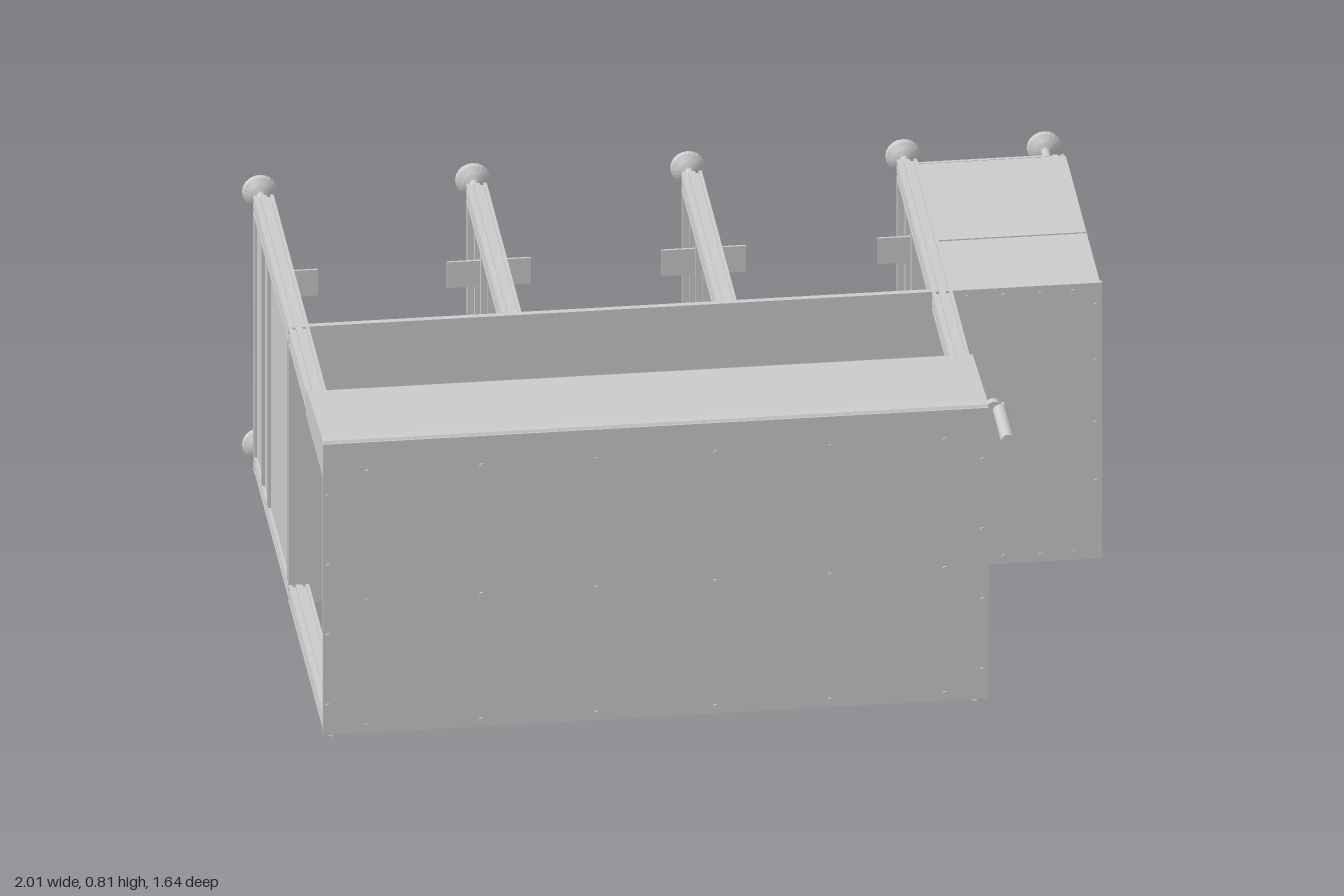
import * as THREE from 'three';

const mat = new THREE.MeshStandardMaterial({ color: 0xcccccc, flatShading: true });
const smooth = new THREE.MeshStandardMaterial({ color: 0xcccccc });
const thin = new THREE.MeshStandardMaterial({ color: 0xcccccc, flatShading: true, side: THREE.DoubleSide });

export function createModel() {
  const root = new THREE.Group();
  root.name = 'workstation';

  const add = (name, geo, x = 0, y = 0, z = 0, m = mat) => {
    const mesh = new THREE.Mesh(geo, m);
    mesh.name = name;
    mesh.position.set(x, y, z);
    root.add(mesh);
    return mesh;
  };

  // Flat sheet or block given by its bounds
  const box = (name, x0, x1, y0, y1, z0, z1) =>
    add(name, new THREE.BoxGeometry(x1 - x0, y1 - y0, z1 - z0), (x0 + x1) / 2, (y0 + y1) / 2, (z0 + z1) / 2);

  // Slotted frame section: one groove for every 0.025 of side length
  const section = (w, h) => {
    const pts = [];
    const corners = [[-w / 2, -h / 2], [w / 2, -h / 2], [w / 2, h / 2], [-w / 2, h / 2]];
    corners.forEach(([ax, ay], i) => {
      const [bx, by] = corners[(i + 1) % 4];
      const len = Math.hypot(bx - ax, by - ay);
      const ux = (bx - ax) / len, uy = (by - ay) / len;
      const n = Math.max(1, Math.round(len / 0.025));
      const put = (t, d) => pts.push(new THREE.Vector2(ax + ux * t - uy * d, ay + uy * t + ux * d));
      put(0, 0);
      for (let k = 0; k < n; k++) {
        const c = (k + 0.5) * len / n;
        put(c - 0.004, 0); put(c - 0.004, 0.006); put(c + 0.004, 0.006); put(c + 0.004, 0);
      }
    });
    return new THREE.Shape(pts);
  };

  // Slotted beam given by its bounds, running along its longest side
  const beam = (name, x0, x1, y0, y1, z0, z1) => {
    const dx = x1 - x0, dy = y1 - y0, dz = z1 - z0;
    const len = Math.max(dx, dy, dz);
    const [w, h] = len === dz ? [dx, dy] : len === dy ? [dx, dz] : [dz, dy];
    const geo = new THREE.ExtrudeGeometry(section(w, h), { depth: len, bevelEnabled: false });
    geo.translate(0, 0, -len / 2);
    if (len === dy) geo.rotateX(-Math.PI / 2);
    else if (len === dx) geo.rotateY(Math.PI / 2);
    add(name, geo, (x0 + x1) / 2, (y0 + y1) / 2, (z0 + z1) / 2);
  };

  // Cabinet bays: dividers with top and bottom rails and posts
  const bays = [-0.97, -0.45, 0.075, 0.6];
  bays.forEach((x, i) => {
    const outer = i === 0 || i === 3;
    const a = x - 0.025, b = x + 0.025;
    beam('topRail', a, b, 0.71, 0.76, -0.745, outer ? 0.665 : -0.045);
    beam('bottomRail', a, b, 0.02, 0.06, -0.72, -0.045);
    beam('rearPost', a, b, 0.035, 0.71, -0.745, -0.72);
    beam('frontPost', a, b, 0.06, 0.71, -0.07, -0.045);
    for (const z of [-0.58, -0.46]) beam('middlePost', a, b, 0.06, 0.71, z - 0.0125, z + 0.0125);

    // Mounting tabs between the middle posts
    const x0 = i === 0 ? x : x - 0.1, x1 = i === 3 ? x : x + 0.105;
    for (const y of [0.18, 0.33, 0.48, 0.63]) box('mountingTab', x0, x1, y - 0.035, y + 0.035, -0.524, -0.518);
  });

  // Long cabinet rails, floor and walls
  beam('rearBottomRail', -0.995, 0.985, 0.012, 0.037, -0.745, -0.72);
  beam('rearInnerRail', 0.625, 0.94, 0.725, 0.75, -0.745, -0.72);
  beam('frontTopRail', -0.945, 0.98, 0.725, 0.75, -0.07, -0.045);
  beam('frontBottomRail', -0.945, 0.98, 0.02, 0.045, -0.07, -0.045);
  box('floor', -0.99, 0.985, 0.012, 0.02, -0.74, -0.04);
  box('cabinetFront', -0.995, 0.99, 0.01, 0.76, -0.045, -0.035);
  box('leftWall', -0.988, -0.98, 0.04, 0.72, -0.725, -0.045);

  // Closed box at the end of the cabinet
  for (const [z0, z1] of [[-0.745, -0.72], [-0.31, -0.285], [-0.07, -0.045]]) {
    beam('boxPost', 0.94, 0.984, 0.02, 0.75, z0, z1);
    beam('boxTopCrossRail', 0.625, 0.94, 0.725, 0.75, z0, z1);
  }
  for (const y of [0.02, 0.725]) beam('boxSideRail', 0.955, 0.98, y, y + 0.025, -0.72, -0.07);
  box('boxPartition', 0.625, 0.95, 0.02, 0.73, -0.302, -0.296);
  for (const [z0, z1] of [[-0.715, -0.31], [-0.3, -0.045]]) {
    box('boxSidePanel', 0.982, 0.99, 0.03, 0.74, z0, z1);
    box('boxTopPanel', 0.625, 0.985, 0.75, 0.758, z0 - 0.004, z1);
  }

  // Front frame
  for (const x of [-0.97, 0.6]) {
    beam('floorRunner', x - 0.025, x + 0.025, 0.012, 0.06, -0.035, 0.665);
    beam('frameFrontPost', x - 0.025, x + 0.025, 0.06, 0.71, 0.64, 0.665);
    add('stud', new THREE.CylinderGeometry(0.014, 0.014, 0.012, 12), x, 0.006, 0.65);
  }
  for (const y of [0.012, 0.36, 0.725]) beam('frameCrossRail', -0.945, 0.575, y, y + 0.025, 0.64, 0.665);
  box('frontPanel', -0.998, 0.626, 0.01, 0.8, 0.665, 0.672);

  // Sloping console: folded sheet with end plates, open underneath
  const outline = [[0.672, 0.71], [0.672, 0.795], [0.665, 0.806], [0.65, 0.81], [0.36, 0.787], [0.345, 0.78], [0.338, 0.765], [0.338, 0.71]];
  const inset = outline.slice().reverse().map(([z, y]) => [0.505 + (z - 0.505) * 0.965, y === 0.71 ? y : y - 0.006]);
  const sheet = new THREE.Shape([...outline, ...inset].map(([z, y]) => new THREE.Vector2(-z, y)));
  const plate = new THREE.Shape(outline.map(([z, y]) => new THREE.Vector2(-z, y)));
  const along = (name, shape, x, depth) => {
    const geo = new THREE.ExtrudeGeometry(shape, { depth, bevelEnabled: false });
    geo.rotateY(Math.PI / 2);
    add(name, geo, x, 0, 0, thin);
  };
  along('consoleCover', sheet, -0.998, 1.624);
  along('consoleEnd', plate, -0.998, 0.006);
  along('consoleEnd', plate, 0.62, 0.006);

  // Handle on the console end
  const rod = (name, r, len, x, y, z, m = smooth) => {
    const geo = new THREE.CylinderGeometry(r, r, len, 24);
    geo.rotateX(Math.PI / 2);
    return add(name, geo, x, y, z, m);
  };
  rod('handleGrip', 0.017, 0.165, 0.656, 0.783, 0.738);
  box('handleArm', 0.625, 0.668, 0.772, 0.794, 0.635, 0.656);
  rod('handlePivot', 0.02, 0.02, 0.642, 0.787, 0.646);

  // Small tray on a half-round bracket
  box('tray', 0.075, 0.438, 0.28, 0.297, 0.01, 0.232);
  box('trayArm', 0.248, 0.264, 0.28, 0.295, -0.035, 0.012);
  const fan = new THREE.ConeGeometry(0.1, 0.022, 32, 1, false, Math.PI / 2, Math.PI);
  fan.rotateX(Math.PI / 2);
  add('trayBracket', fan, 0.255, 0.288, -0.024, thin);
  box('outletPlate', 0.4, 0.505, 0.19, 0.24, -0.035, -0.03);

  // Adjustable feet pointing backwards
  const profile = [[0, 0], [0.011, 0], [0.011, 0.05], [0.024, 0.055], [0.041, 0.066], [0.043, 0.078], [0, 0.078]]
    .map(([r, h]) => new THREE.Vector2(r, h));
  const foot = (x, y) => {
    const geo = new THREE.LatheGeometry(profile, 20);
    geo.rotateX(-Math.PI / 2);
    add('foot', geo, x, y, -0.743, thin);
  };
  for (const x of [...bays, 0.945]) foot(x, 0.733);
  for (const x of [-0.97, 0.6, 0.945]) foot(x, 0.045);

  // Panel screws
  const screw = (x, y, z) => rod('screw', 0.006, 0.006, x, y, z, mat);
  for (const x of [-0.89, -0.61, -0.33, -0.04, 0.24, 0.52]) for (const y of [0.03, 0.37, 0.72]) screw(x, y, 0.673);
  for (const y of [0.09, 0.28, 0.47, 0.66]) for (const x of [-0.985, 0.612]) screw(x, y, 0.673);
  for (const y of [0.03, 0.74]) for (const x of [0.66, 0.75, 0.84, 0.92]) screw(x, y, -0.035);
  for (const y of [0.22, 0.38, 0.55, 0.7]) screw(0.975, y, -0.035);
  for (const y of [0.07, 0.69]) for (const z of [-0.08, -0.24, -0.33, -0.69]) {
    screw(0.99, y, z).rotation.y = Math.PI / 2;
  }
  return root;
}
